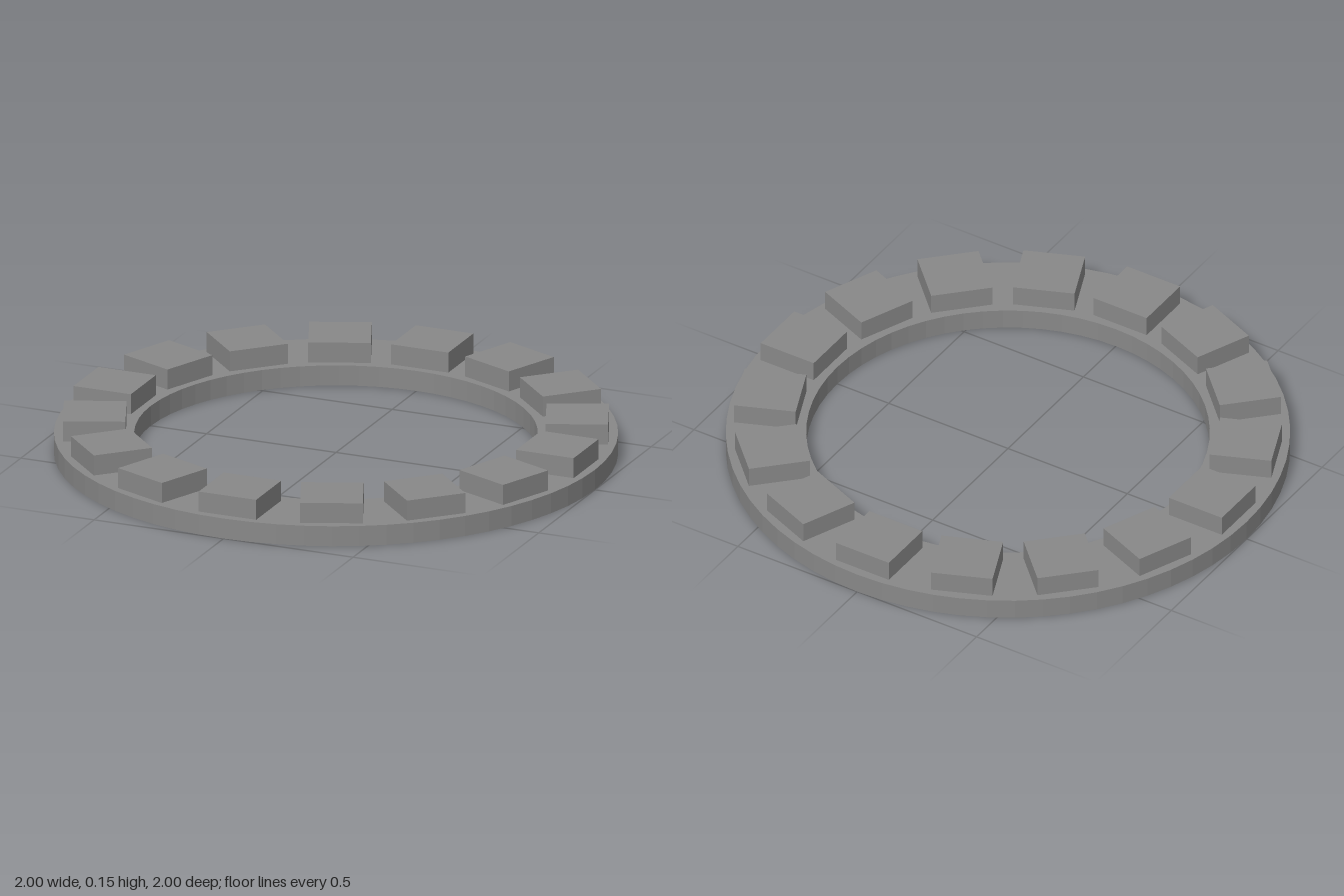
import * as THREE from 'three';

const OUTER = 1, INNER = 0.715, BASE_H = 0.075;
const BLOCKS = 16, BLOCK_W = 0.222, BLOCK_H = 0.075, BLOCK_R = 0.855;

export function createModel() {
  const model = new THREE.Group();
  model.name = 'blockRing';

  const grey = new THREE.MeshStandardMaterial({ color: 0x888888, flatShading: true });
  grey.name = 'grey';

  // Flat ring with a closed rectangular section
  const section = [
    [INNER, 0], [OUTER, 0], [OUTER, BASE_H], [INNER, BASE_H], [INNER, 0],
  ].map(([r, y]) => new THREE.Vector2(r, y));
  const ring = new THREE.Mesh(new THREE.LatheGeometry(section, 64), grey);
  ring.name = 'baseRing';
  model.add(ring);

  // Square blocks standing on the ring, each turned to face outward
  const blockGeometry = new THREE.BoxGeometry(BLOCK_W, BLOCK_H, BLOCK_W);
  for (let i = 0; i < BLOCKS; i++) {
    const angle = (i / BLOCKS) * Math.PI * 2;
    const block = new THREE.Mesh(blockGeometry, grey);
    block.name = `block${i + 1}`;
    block.position.set(Math.sin(angle) * BLOCK_R, BASE_H + BLOCK_H / 2, Math.cos(angle) * BLOCK_R);
    block.rotation.y = angle;
    model.add(block);
  }

  return model;
}
